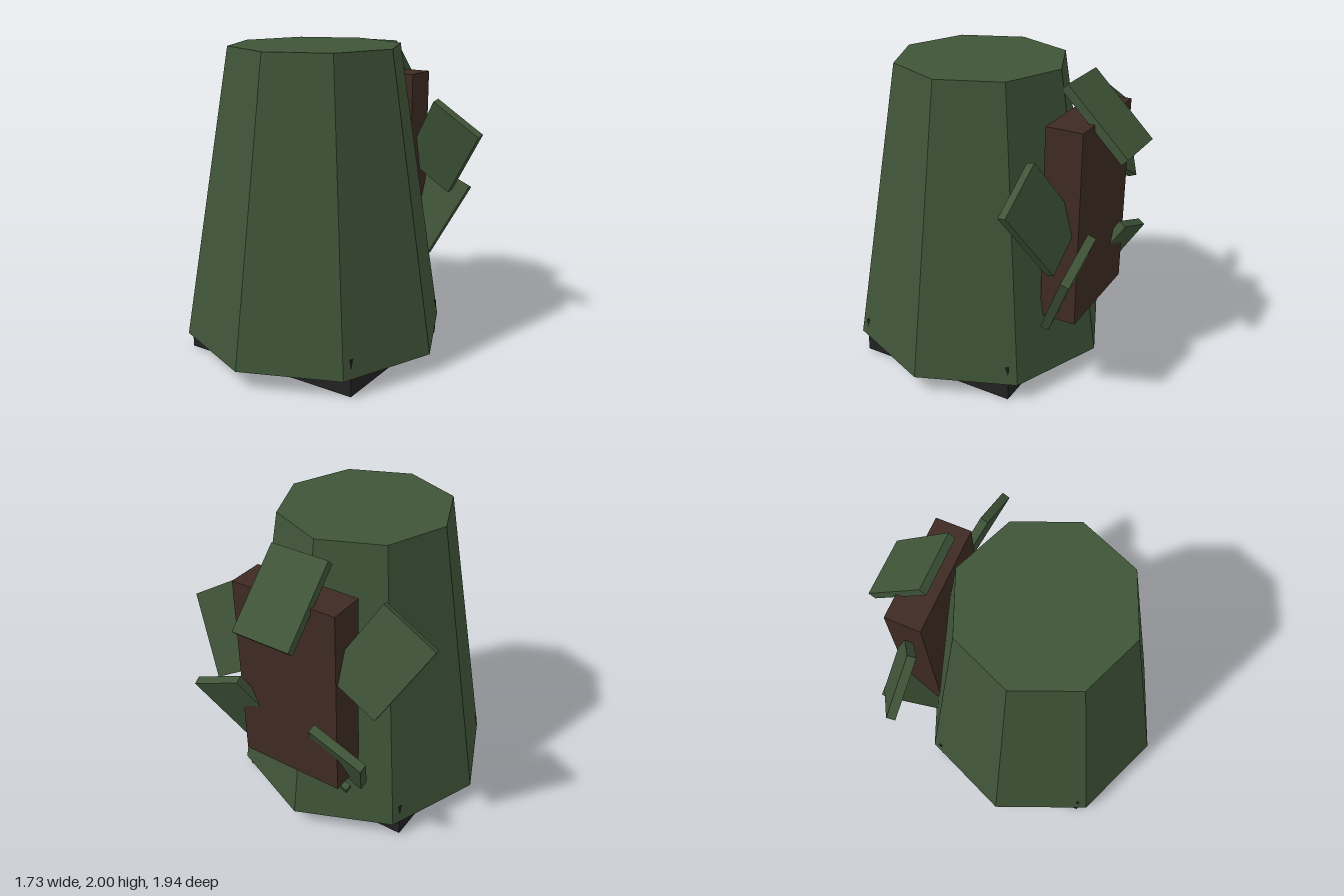
import * as THREE from 'three';

const material = (name, color) => {
  const m = new THREE.MeshStandardMaterial({ color });
  m.name = name;
  return m;
};

export function createModel() {
  const group = new THREE.Group();
  const green = material('darkGreen', 0x3f5438);
  const brown = material('darkBrown', 0x3e2b23);
  const black = material('charcoal', 0x222222);

  // Adds a part; tilt leans it about its own width, roll turns it in the front plane
  const add = (name, geometry, mat, position, roll = 0, tilt = 0) => {
    const mesh = new THREE.Mesh(geometry, mat);
    mesh.name = name;
    mesh.position.set(...position);
    mesh.rotation.set(THREE.MathUtils.degToRad(tilt), 0, THREE.MathUtils.degToRad(roll), 'ZXY');
    group.add(mesh);
    return mesh;
  };

  // Tapered eight-sided body with faceted sides
  const body = new THREE.CylinderGeometry(0.55, 0.862, 1.88, 8).toNonIndexed();
  body.computeVertexNormals();
  add('body', body, green, [0, 1.06, 0.11]);

  // Square foot whose corners just break through the body
  add('base', new THREE.BoxGeometry(1.25, 0.24, 1.1), black, [0, 0.12, 0.11]);

  // Block on the back
  add('backBlock', new THREE.BoxGeometry(0.71, 1.255, 0.235), brown, [0, 1.142, -0.637]);

  // Loose plates around the block: position, roll, tilt
  const plate = new THREE.BoxGeometry(0.39, 0.55, 0.055);
  const plates = [
    ['topPlate', [0, 1.77, -0.752], 0, 45.5],
    ['upperRightPlate', [-0.555, 1.464, -0.604], 30, 23],
    ['upperLeftPlate', [0.556, 1.286, -0.605], -32, 17.5],
    ['lowerRightPlate', [-0.308, 0.683, -0.671], 21, -30],
    ['lowerLeftPlate', [0.394, 0.818, -0.716], -23, -23],
  ];
  for (const [name, position, roll, tilt] of plates) add(name, plate, green, position, roll, tilt);

  // Small stub below the lower right plate
  add('stub', new THREE.BoxGeometry(0.045, 0.09, 0.045), green, [-0.314, 0.39, -0.605], 21, -30);

  return group;
}
